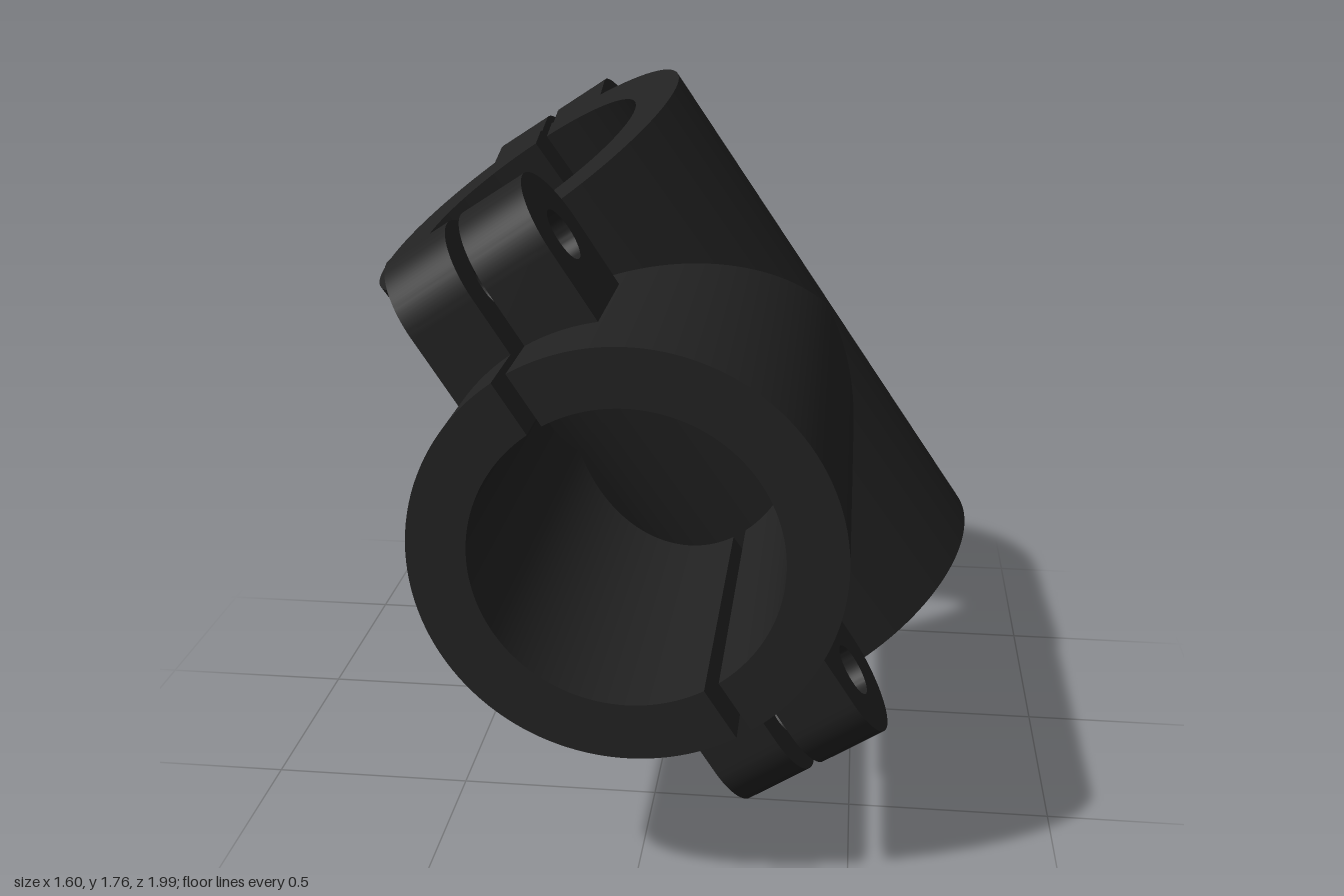
import * as THREE from 'three';
import { mergeGeometries, toCreasedNormals } from 'three/addons/utils/BufferGeometryUtils.js';

const RO = 0.478, RI = 0.345;          // tube outer and bore radius
const GAP = 0.019;                     // half width of the slit
const HOLE = 0.137;                    // round opening in the back wall
const H = 0.74;                        // half length of the leaning tube
const FRONT = 1.14;                    // reach of the front tube
const PHI = 0.136, ROLL = 0.575;       // lean towards the front, sideways roll
const C = Math.cos(PHI), S = Math.sin(PHI);
const AXIS = new THREE.Vector3(0, C, S);
const OUT = new THREE.Vector3(0, -S, C);

// Sweep a four-cornered section; each edge gets its own smooth strip.
// section(u) returns the corners, side = 1 or -1 mirrors the part across x.
function sweep(section, n, edges, caps, side) {
  const parts = [];
  const rings = [];
  for (let i = 0; i <= n; i++) rings.push(section(i / n).map(p => [p.x * side, p.y, p.z]));
  const add = (pos, idx) => {
    if (side < 0) idx.reverse();
    const g = new THREE.BufferGeometry();
    g.setAttribute('position', new THREE.Float32BufferAttribute(pos.flat(), 3));
    g.setIndex(idx);
    g.computeVertexNormals();
    parts.push(g);
  };
  for (const e of edges) {
    const pos = [], idx = [];
    rings.forEach((r, i) => {
      pos.push(r[e], r[(e + 1) % 4]);
      const a = 2 * i;
      if (i < n) idx.push(a, a + 1, a + 3, a, a + 3, a + 2);
    });
    add(pos, idx);
  }
  if (caps.includes('start')) add(rings[0], [0, 2, 1, 0, 3, 2]);
  if (caps.includes('end')) add(rings[n], [0, 1, 2, 0, 2, 3]);
  return parts;
}

// Front tube, mitred where it meets the leaning tube
function frontTube(side) {
  const point = (r, u, atEnd) => {
    const t0 = Math.asin(GAP / r), t = t0 + (Math.PI - 2 * t0) * u;
    const z = atEnd ? FRONT : r * (Math.abs(Math.cos(t)) + Math.cos(t) * S) / C;
    return new THREE.Vector3(r * Math.sin(t), r * Math.cos(t), z);
  };
  const section = u => [point(RO, u, false), point(RO, u, true), point(RI, u, true), point(RI, u, false)];
  return sweep(section, 64, [0, 1, 2], ['start', 'end'], side);
}

// Leaning tube: a front zone, a plain back zone and the zone beside the back hole
const zones = [
  { n: 32, caps: ['start'], hole: false,
    angle: (r, u) => THREE.MathUtils.lerp(Math.asin(GAP / r), Math.PI / 2, u),
    cut: (r, p) => r * Math.abs(Math.cos(p)) },
  { n: 26, caps: [], hole: false,
    angle: (r, u) => THREE.MathUtils.lerp(Math.PI / 2, Math.PI - Math.asin(HOLE / r), u),
    cut: () => 0 },
  { n: 20, caps: ['end'], hole: true,
    angle: (r, u) => {
      const q = THREE.MathUtils.lerp(Math.PI / 2, Math.asin(GAP / HOLE), u);
      return Math.PI - Math.asin(HOLE * Math.sin(q) / r);
    },
    cut: (r, p) => Math.sqrt(Math.max(0, HOLE * HOLE - (r * Math.sin(p)) ** 2)) },
];

function leaningTube(side) {
  const parts = [];
  for (const zone of zones) for (const end of [1, -1]) {
    const point = (r, u, outerEnd) => {
      const p = zone.angle(r, u);
      const s = outerEnd ? end * H : (end * zone.cut(r, p) + r * Math.cos(p) * S) / C;
      return new THREE.Vector3(r * Math.sin(p), 0, 0)
        .addScaledVector(OUT, r * Math.cos(p)).addScaledVector(AXIS, s);
    };
    const top = end > 0;
    const section = u => [point(RO, u, top), point(RO, u, !top), point(RI, u, !top), point(RI, u, top)];
    const edges = zone.hole ? [0, 1, 2, 3] : top ? [0, 2, 3] : [0, 1, 2];
    parts.push(...sweep(section, zone.n, edges, zone.caps, side));
  }
  return parts;
}

// Rounded clamp ear with a bolt hole
function earGeometry() {
  const w = 0.16, base = 0.4, centre = 0.622;
  const shape = new THREE.Shape();
  shape.moveTo(-w, base);
  shape.lineTo(w, base);
  shape.lineTo(w, centre);
  shape.absarc(0, centre, w, 0, Math.PI, false);
  shape.closePath();
  const hole = new THREE.Path();
  hole.absarc(0, centre, 0.064, 0, Math.PI * 2, true);
  shape.holes.push(hole);
  const g = new THREE.ExtrudeGeometry(shape, { depth: 0.188 - GAP, bevelEnabled: false, curveSegments: 28 });
  return toCreasedNormals(g, 0.5);
}

export function createModel() {
  const material = new THREE.MeshStandardMaterial({ color: 0x222222 });
  const model = new THREE.Group();
  model.name = 'pipeClamp';
  const body = new THREE.Group();
  body.name = 'clampBody';
  body.position.set(0, 0.88, -0.14);
  body.rotation.z = ROLL;
  model.add(body);

  // Two mirrored half shells
  for (const side of [1, -1]) {
    const shell = new THREE.Mesh(mergeGeometries([...frontTube(side), ...leaningTube(side)]), material);
    shell.name = side > 0 ? 'leftHalfShell' : 'rightHalfShell';
    body.add(shell);
  }

  // Four pairs of ears: two on the front tube, two on the back of the leaning tube
  const ear = earGeometry();
  const X = new THREE.Vector3(1, 0, 0);
  const spots = [
    ['frontUpperEar', new THREE.Vector3(0, 1, 0), new THREE.Vector3(0, 0, 0.78)],
    ['frontLowerEar', new THREE.Vector3(0, -1, 0), new THREE.Vector3(0, 0, 0.78)],
    ['backUpperEar', OUT.clone().negate(), AXIS.clone().multiplyScalar(0.575)],
    ['backLowerEar', OUT.clone().negate(), AXIS.clone().multiplyScalar(-0.575)],
  ];
  for (const [name, dir, at] of spots) {
    const pair = new THREE.Group();
    pair.name = name + 'Pair';
    const basis = new THREE.Matrix4().makeBasis(dir.clone().cross(X), dir, X);
    pair.quaternion.setFromRotationMatrix(basis);
    pair.position.copy(at);
    for (const offset of [GAP, -0.188]) {
      const mesh = new THREE.Mesh(ear, material);
      mesh.name = name;
      mesh.position.z = offset;
      pair.add(mesh);
    }
    body.add(pair);
  }
  return model;
}
